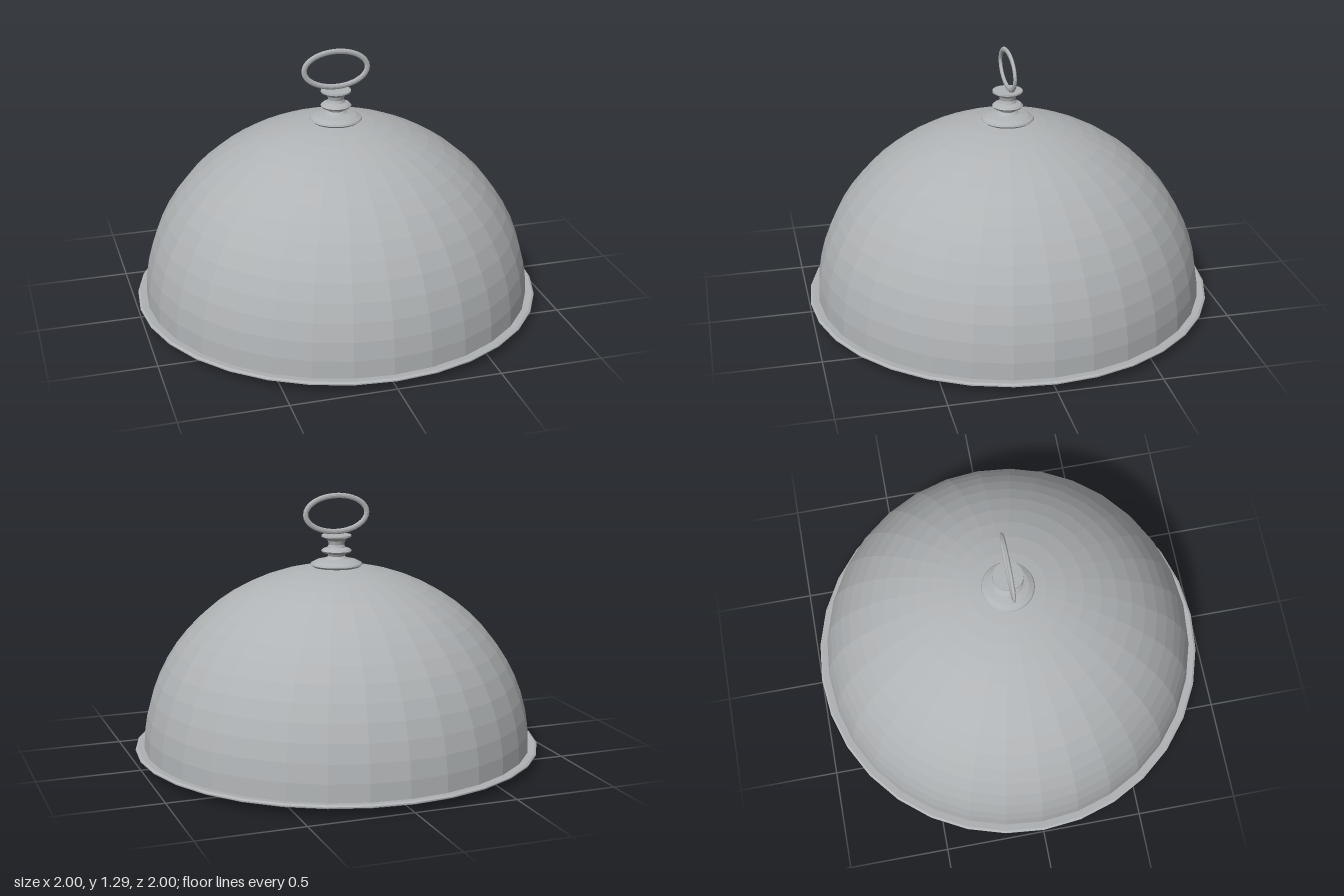
import * as THREE from 'three';

const SIDES = 32;

// Ellipse in the x-y plane, used as the handle's centre line
class EllipseLoop extends THREE.Curve {
  constructor(rx, ry) {
    super();
    this.rx = rx;
    this.ry = ry;
  }
  getPoint(t, target = new THREE.Vector3()) {
    const a = t * Math.PI * 2;
    return target.set(this.rx * Math.cos(a), this.ry * Math.sin(a), 0);
  }
}

export function createModel() {
  const group = new THREE.Group();
  const silver = new THREE.MeshStandardMaterial({ color: 0xb0b3b5 });
  silver.name = 'silver';
  silver.flatShading = true;
  silver.side = THREE.DoubleSide;

  const add = (name, geometry) => {
    const mesh = new THREE.Mesh(geometry, silver);
    mesh.name = name;
    group.add(mesh);
    return mesh;
  };
  // Profiles run from the bottom up as [radius, height]
  const turn = (name, profile) =>
    add(name, new THREE.LatheGeometry(profile.map(([r, y]) => new THREE.Vector2(r, y)), SIDES));

  // Shallow tray with a thin flat rim
  turn('tray', [
    [0, 0], [0.83, 0], [0.88, 0.008], [0.915, 0.02], [0.935, 0.034],
    [0.99, 0.034], [1, 0.04], [1, 0.046], [0.99, 0.052], [0.945, 0.048],
    [0.9, 0.03], [0.84, 0.015], [0, 0.015],
  ]);

  // Domed cover
  const dome = [];
  const rings = 16;
  for (let i = 0; i <= rings; i++) {
    const a = (i / rings) * Math.PI / 2;
    dome.push([Math.max(0, 0.957 * Math.cos(a)), 0.045 + 0.895 * Math.sin(a)]);
  }
  turn('dome', dome);

  // Turned finial: foot, bead and flared cap
  turn('finial', [
    [0.105, 0.925], [0.128, 0.943], [0.124, 0.951], [0.1, 0.963], [0.055, 0.973],
    [0.04, 0.985], [0.045, 0.996], [0.068, 1.002], [0.075, 1.011], [0.066, 1.02],
    [0.044, 1.028], [0.038, 1.042], [0.042, 1.06], [0.058, 1.074], [0.074, 1.08],
    [0.073, 1.088], [0, 1.09],
  ]);

  // Oval ring handle, flattened front to back
  const ring = add('ringHandle', new THREE.TubeGeometry(new EllipseLoop(0.158, 0.088), 48, 0.0135, 10, true));
  ring.scale.z = 0.65;
  ring.position.y = 1.192;

  return group;
}
